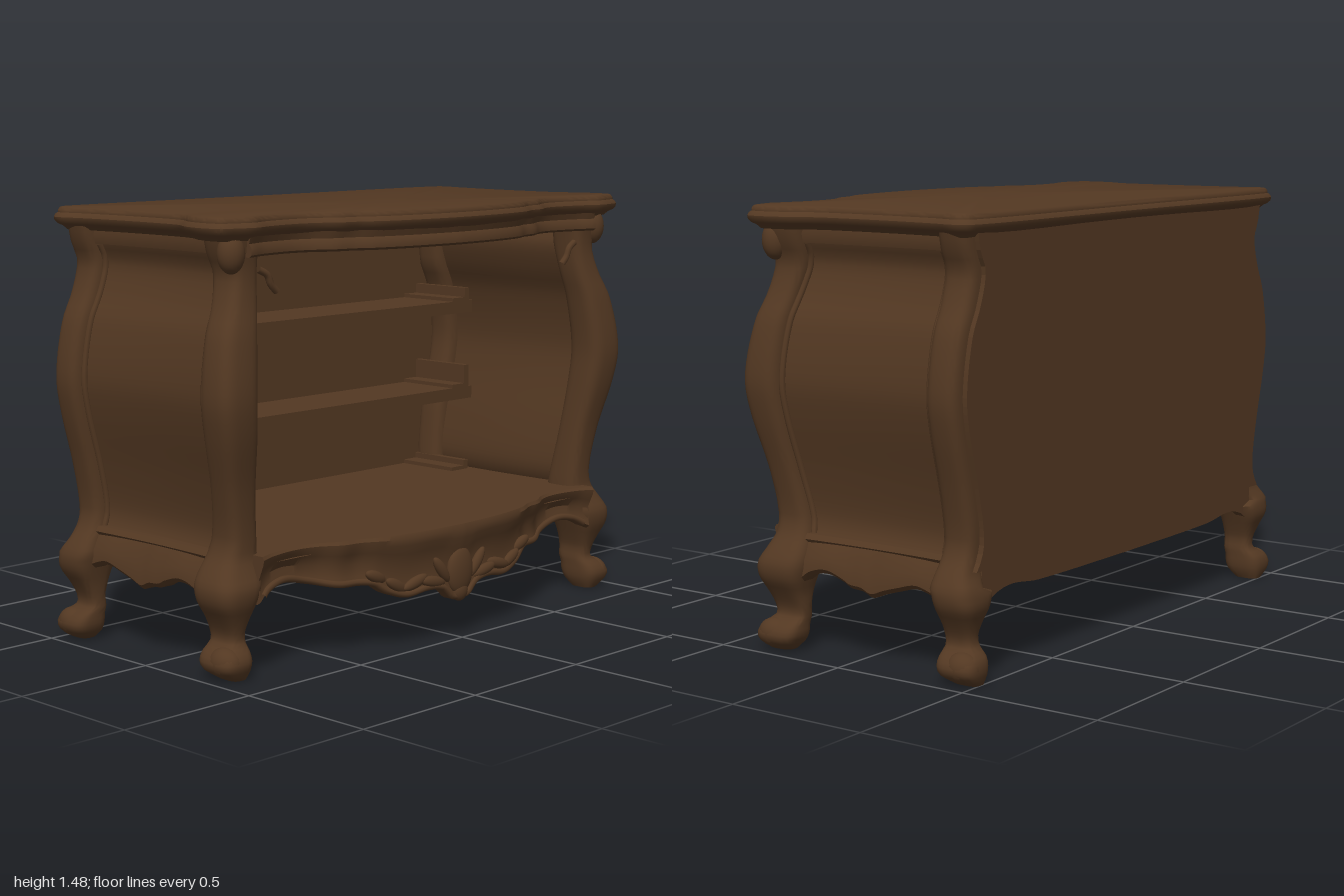
import * as THREE from 'three';
import { toCreasedNormals } from 'three/addons/utils/BufferGeometryUtils.js';

const V = (x, y, z) => new THREE.Vector3(x, y, z);
const range = (a, b, n) => Array.from({ length: n + 1 }, (_, i) => a + (b - a) * i / n);

// Smooth interpolation through rows of [key, value, value...]
function table(rows, t, col = 1) {
  let i = 0;
  while (i < rows.length - 2 && t > rows[i + 1][0]) i++;
  const slope = k => {
    const a = rows[Math.max(k - 1, 0)], b = rows[Math.min(k + 1, rows.length - 1)];
    return (b[col] - a[col]) / (b[0] - a[0]);
  };
  const a = rows[i], b = rows[i + 1], h = b[0] - a[0];
  const u = THREE.MathUtils.clamp((t - a[0]) / h, 0, 1), u2 = u * u, u3 = u2 * u;
  return (2 * u3 - 3 * u2 + 1) * a[col] + (u3 - 2 * u2 + u) * h * slope(i)
    + (3 * u2 - 2 * u3) * b[col] + (u3 - u2) * h * slope(i + 1);
}

// Closed cross-sections joined into a capped solid, turned outward by its volume
function loft(rings, crease = 0.7) {
  const n = rings[0].length, m = rings.length, pts = rings.flat(), idx = [];
  for (let i = 0; i < m - 1; i++) for (let j = 0; j < n; j++) {
    const a = i * n + j, b = i * n + (j + 1) % n;
    idx.push(a, b, b + n, a, b + n, a + n);
  }
  [0, m - 1].forEach(r => {
    const c = pts.length;
    pts.push(rings[r].reduce((s, p) => s.add(p), V(0, 0, 0)).divideScalar(n));
    for (let j = 0; j < n; j++) {
      const a = r * n + j, b = r * n + (j + 1) % n;
      idx.push(c, ...(r ? [a, b] : [b, a]));
    }
  });
  let vol = 0;
  for (let i = 0; i < idx.length; i += 3)
    vol += pts[idx[i]].dot(pts[idx[i + 1]].clone().cross(pts[idx[i + 2]]));
  if (vol < 0) idx.reverse();
  const g = new THREE.BufferGeometry().setFromPoints(pts);
  g.setIndex(idx);
  return toCreasedNormals(g, crease);
}

// Bulging post: height, outer x, inner x
const POST_X = [[0, .93, .87], [.03, .975, .855], [.06, .985, .85], [.09, .965, .85], [.115, .925, .85],
  [.15, .925, .855], [.2, .95, .84], [.25, .98, .82], [.3, .985, .8], [.34, .965, .79], [.4, .925, .79],
  [.46, .912, .795], [.6, .935, .81], [.8, .985, .832], [.92, 1, .84], [1.1, .97, .82], [1.2, .925, .8],
  [1.3, .9, .79], [1.36, .925, .785], [1.43, .94, .78]];
// Height, front z, back z
const FRONT_Z = [[0, .36, .27], [.03, .378, .235], [.06, .385, .22], [.09, .37, .22], [.115, .343, .218],
  [.15, .345, .215], [.2, .362, .212], [.25, .382, .2], [.3, .385, .19], [.34, .365, .19], [.4, .342, .2],
  [.6, .357, .235], [.8, .398, .255], [.92, .408, .26], [1.1, .385, .25], [1.2, .36, .235], [1.3, .347, .215], [1.43, .36, .205]];
const BACK_Z = [[0, -.41, -.5], [.03, -.375, -.512], [.06, -.365, -.515], [.09, -.365, -.505], [.115, -.365, -.475],
  [.15, -.365, -.47], [.2, -.36, -.485], [.25, -.35, -.505], [.3, -.34, -.5], [.36, -.345, -.47], [.5, -.35, -.47], [1.43, -.35, -.47]];
// Serpentine front in plan: x, z
const FRONT = [[0, .508], [.2, .495], [.36, .465], [.43, .433], [.5, .418], [.57, .38], [.65, .365], [.78, .38], [.86, .405], [.93, .395]];
// Lower edges of the aprons
const FRONT_EDGE = [[0, .135], [.04, .14], [.08, .175], [.15, .188], [.25, .178], [.33, .203], [.38, .235],
  [.5, .242], [.6, .265], [.7, .285], [.78, .272], [.84, .24]];
const SIDE_EDGE = [[-.37, .25], [-.33, .268], [-.27, .282], [-.2, .265], [-.14, .247], [-.09, .23], [-.05, .245],
  [0, .25], [.03, .265], [.1, .284], [.17, .268], [.22, .23]];

const outerX = y => table(POST_X, y);
const frontZ = x => table(FRONT, Math.abs(x));

// Plan outline of the top, as points with outward normals
function planOutline() {
  const half = [[.9, -.512], [.955, -.495], [.975, -.45], [.958, -.36], [.942, -.2], [.937, 0], [.947, .13],
    [.985, .21], [1, .3], [.985, .37], [.93, .392], ...FRONT.slice(1, 9).reverse()];
  const all = [[0, -.512], ...half, FRONT[0], ...half.map(([x, z]) => [-x, z]).reverse()];
  const p = new THREE.CatmullRomCurve3(all.map(([x, z]) => V(x, 0, z)), true, 'centripetal').getPoints(240).slice(0, -1);
  return p.map((q, i) => {
    const t = p[(i + 1) % p.length].clone().sub(p[(i + p.length - 1) % p.length]).normalize();
    const nrm = V(t.z, 0, -t.x);
    if (nrm.dot(q) < 0) nrm.negate();
    return [q, nrm];
  });
}

export function createModel() {
  const model = new THREE.Group();
  model.name = 'chest';
  const wood = new THREE.MeshStandardMaterial({ color: 0x533822 });
  wood.name = 'brown wood';
  const add = (name, geo, pos) => {
    const mesh = new THREE.Mesh(geo, wood);
    mesh.name = name;
    if (pos) mesh.position.set(...pos);
    model.add(mesh);
    return mesh;
  };
  const box = (name, w, h, d, x, y, z) => add(name, new THREE.BoxGeometry(w, h, d), [x, y, z]);
  const tube = (name, pts, r, seg = 60) =>
    add(name, new THREE.TubeGeometry(new THREE.CatmullRomCurve3(pts), seg, r, 8));
  const ball = (name, pos, scale, turn = 0) => {
    const mesh = add(name, new THREE.SphereGeometry(1, 20, 14), pos);
    mesh.scale.set(...scale);
    mesh.rotation.z = turn;
  };

  // Moulded top
  const outline = planOutline();
  const slab = (name, profile) => add(name, loft(profile.map(([off, y]) =>
    outline.map(([p, n]) => V(p.x + n.x * off, y, p.z + n.z * off)))));
  slab('top', [[-.045, 1.405], [-.03, 1.418], [-.012, 1.426], [-.002, 1.436], [0, 1.448], [-.006, 1.458],
    [-.014, 1.463], [-.014, 1.47], [-.02, 1.479], [-.028, 1.482]]);

  // Front rail under the top
  add('frontRail', loft(range(-.86, .86, 90).map(x => {
    const z = frontZ(x) - .028;
    return [[1.352, -.045], [1.352, -.012], [1.36, 0], [1.38, 0], [1.395, -.012], [1.42, -.004], [1.42, -.045]]
      .map(([y, d]) => V(x, y, z + d));
  })));

  // Floor of the case
  add('floor', loft([.365, .398].map(y => [
    V(.86, y, -.46), V(.88, y, .25), ...range(.82, -.82, 60).map(x => V(x, y, frontZ(x) - .03)),
    V(-.88, y, .25), V(-.86, y, -.46)])));

  // Carved front apron
  add('frontApron', loft(range(-.84, .84, 140).map(x => {
    const b = table(FRONT_EDGE, Math.abs(x)), z = frontZ(x), top = .4;
    const row = [[0, -.03], [.06, -.016], [.2, -.022], [.45, -.028], [.68, -.012], [.82, -.002], [.93, .002], [1, -.006]];
    return [...row.map(([f, d]) => V(x, b + (top - b) * f, z + d)), V(x, top, z - .05), V(x, b, z - .06)];
  })));
  const onApron = (x, dy, dz) => V(x, table(FRONT_EDGE, Math.abs(x)) + dy, frontZ(x) + dz);
  tube('apronBead', range(-.82, .82, 80).map(x => onApron(x, .012, -.02)), .012, 160);
  ball('cartouche', [0, .235, .485], [.062, .085, .026]);
  ball('cartoucheDrop', [0, .165, .485], [.036, .038, .022]);
  for (const s of [-1, 1]) {
    [[.09, .25, .06, .9], [.13, .215, .06, .2], [.21, .225, .06, -.25], [.29, .225, .055, .5], [.37, .265, .05, .4]]
      .forEach(([x, y, l, a]) => ball('apronLeaf', [s * x, y, frontZ(x) - .02], [l, .02, .016], s * a));
  }

  // Back panel following the bulging sides, and its apron
  const back = new THREE.Shape();
  const ys = range(.36, 1.42, 40);
  ys.forEach((y, i) => back[i ? 'lineTo' : 'moveTo'](outerX(y) - .05, y));
  ys.slice().reverse().forEach(y => back.lineTo(.05 - outerX(y), y));
  add('backPanel', new THREE.ExtrudeGeometry(back, { depth: .03, bevelEnabled: false }), [0, 0, -.486]);
  const backEdge = [[0, .265], [.55, .27], [.7, .285], [.8, .265], [.86, .22]];
  add('backApron', loft(range(-.86, .86, 60).map(x => {
    const b = table(backEdge, Math.abs(x));
    return [V(x, b, -.475), V(x, .37, -.475), V(x, .37, -.44), V(x, b, -.44)];
  })));

  // Drawer rails with their runners
  [1.04, .705].forEach(y => {
    box('shelf', 1.66, .035, .26, 0, y, -.33);
    box('shelfLip', 1.66, .014, .02, 0, y - .022, -.21);
  });

  for (const s of [-1, 1]) {
    // Posts with scrolled legs
    const heights = [0, .012, .03, .045, .06, .075, .09, .103, .115, .13, ...range(.15, .46, 18), ...range(.5, 1.43, 30)];
    for (const [name, zs] of [['frontPost', FRONT_Z], ['backPost', BACK_Z]]) {
      add(name, loft(heights.map(y => {
        const xo = outerX(y), z0 = table(zs, y), z1 = table(zs, y, 2);
        let xi = table(POST_X, y, 2);
        if (zs === BACK_Z && y > .3) xi = Math.max(xi, xo - .13);
        return range(0, 31, 31).map(k => {
          const a = k / 32 * Math.PI * 2, c = Math.cos(a), d = Math.sin(a);
          const sq = v => Math.sign(v) * Math.abs(v) ** .62;
          return V(s * ((xo + xi) / 2 + sq(c) * (xo - xi) / 2), y, (z0 + z1) / 2 + sq(d) * (z0 - z1) / 2);
        });
      }), 1));
    }
    ball('footScroll', [s * .935, .058, .32], [.05, .05, .064]);
    ball('footScroll', [s * .935, .058, -.455], [.05, .05, .06]);

    // Bulging side panel with its frame
    const sideX = (y, z) => outerX(y) - .045 - .012 * Math.cos((z + .06) * 4.5);
    add('sidePanel', loft(range(.36, 1.42, 40).map(y => {
      const zs = range(-.4, .28, 10);
      return [...zs.map(z => V(s * sideX(y, z), y, z)), ...zs.reverse().map(z => V(s * (sideX(y, z) - .035), y, z))];
    })));
    for (const [y0, y1, out] of [[1.36, 1.42, .018], [.368, .402, .03]]) {
      add('sideRail', loft(range(-.39, .26, 16).map(z => {
        const x = sideX((y0 + y1) / 2, z);
        return [V(s * (x + out * .6), y0, z), V(s * (x + out), (y0 + y1) / 2, z), V(s * (x + out * .6), y1, z),
          V(s * (x - .03), y1, z), V(s * (x - .03), y0, z)];
      })));
    }
    for (const [name, zAt] of [['panelBeadFront', y => table(FRONT_Z, y, 2) - .004], ['panelBeadBack', () => -.347]])
      tube(name, range(.4, 1.36, 24).map(y => V(s * (sideX(y, zAt(y)) + .004), y, zAt(y))), .011);

    // Scalloped side apron
    add('sideApron', loft(range(-.37, .22, 70).map(z => {
      const b = table(SIDE_EDGE, z);
      return [V(s * .925, b, z), V(s * .94, b + .015, z), V(s * .935, b + (.385 - b) * .5, z), V(s * .9, .385, z),
        V(s * .85, .385, z), V(s * .88, b, z)];
    })));

    // Carved capital and its inner leaf
    ball('capital', [s * .9, 1.365, .325], [.045, .065, .045]);
    tube('capitalLeaf', [V(s * .79, 1.31, .33), V(s * .755, 1.29, .335), V(s * .74, 1.26, .335), V(s * .715, 1.235, .335)], .012, 12);

    // Drawer runners
    [[.398, .035], [.722, .085], [1.057, .05]].forEach(([y, h]) => {
      box('runnerWall', .025, h, .26, s * .8, y + h / 2, -.33);
      box('runnerFoot', .09, .014, .26, s * .765, y + .007, -.33);
    });
  }
  return model;
}
